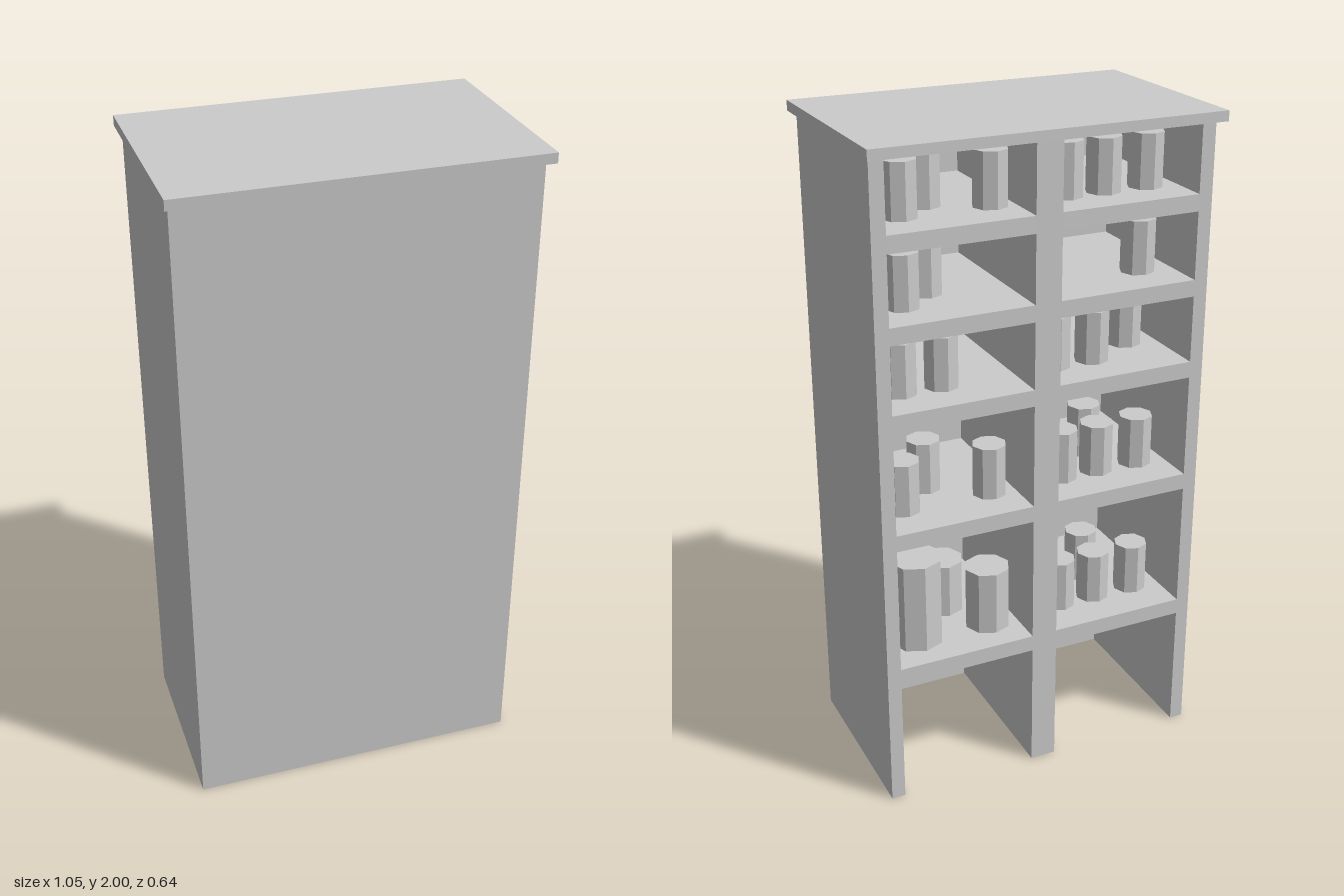
import * as THREE from 'three';

const material = new THREE.MeshStandardMaterial({ color: 0xcccccc, flatShading: true });

function addBox(parent, name, size, position) {
  const mesh = new THREE.Mesh(new THREE.BoxGeometry(...size), material);
  mesh.name = name;
  mesh.position.set(...position);
  parent.add(mesh);
}

function addJar(parent, x, y, z, radius = 0.052, height = 0.16) {
  const mesh = new THREE.Mesh(new THREE.CylinderGeometry(radius, radius, height, 8), material);
  mesh.name = 'jar';
  mesh.position.set(x, y + height / 2, z);
  parent.add(mesh);
}

export function createModel() {
  const model = new THREE.Group();
  model.name = 'shelfCabinet';

  const bodyHeight = 1.97, halfWidth = 0.51, halfDepth = 0.285, board = 0.042;
  const innerDepth = 2 * halfDepth - board;
  const innerZ = -board / 2;

  // Carcass: closed at the front, open towards -z
  addBox(model, 'topSlab', [1.05, 0.03, 0.645], [0, 1.985, 0]);
  addBox(model, 'frontPanel', [2 * halfWidth, bodyHeight, board], [0, bodyHeight / 2, halfDepth - board / 2]);
  for (const side of [1, -1]) {
    addBox(model, side > 0 ? 'leftPanel' : 'rightPanel', [board, bodyHeight, innerDepth],
      [side * (halfWidth - board / 2), bodyHeight / 2, innerZ]);
  }
  addBox(model, 'centreDivider', [0.08, bodyHeight, innerDepth], [0, bodyHeight / 2, innerZ]);

  // Jars on each shelf: [x, z, radius, height]
  const row = [[-0.12, -0.14], [-0.24, -0.14], [-0.375, -0.14]];
  const pair = [[0.375, -0.14], [0.275, -0.06]];
  const shelves = [
    { top: 1.764, jars: [...row, ...pair, [0.11, -0.14]] },
    { top: 1.512, jars: [...pair, [-0.363, -0.135]] },
    { top: 1.26, jars: [[-0.09, -0.14], [-0.216, -0.14], [-0.37, -0.06], [0.39, -0.14], [0.263, -0.14]] },
    { top: 0.893, jars: [...row, [-0.27, 0], [0.39, -0.14], [0.28, -0.03], [0.118, -0.143]] },
    { top: 0.451, jars: [...row, [-0.27, 0], [0.36, -0.14, 0.083, 0.28], [0.13, -0.15, 0.07, 0.2], [0.22, 0, 0.07, 0.17]] },
  ];

  const bayWidth = halfWidth - board - 0.04;
  const thickness = 0.05;
  for (const { top, jars } of shelves) {
    for (const side of [1, -1]) {
      addBox(model, 'shelf', [bayWidth, thickness, innerDepth],
        [side * (0.04 + bayWidth / 2), top - thickness / 2, innerZ]);
    }
    for (const [x, z, radius, height] of jars) addJar(model, x, top, z, radius, height);
  }
  return model;
}
